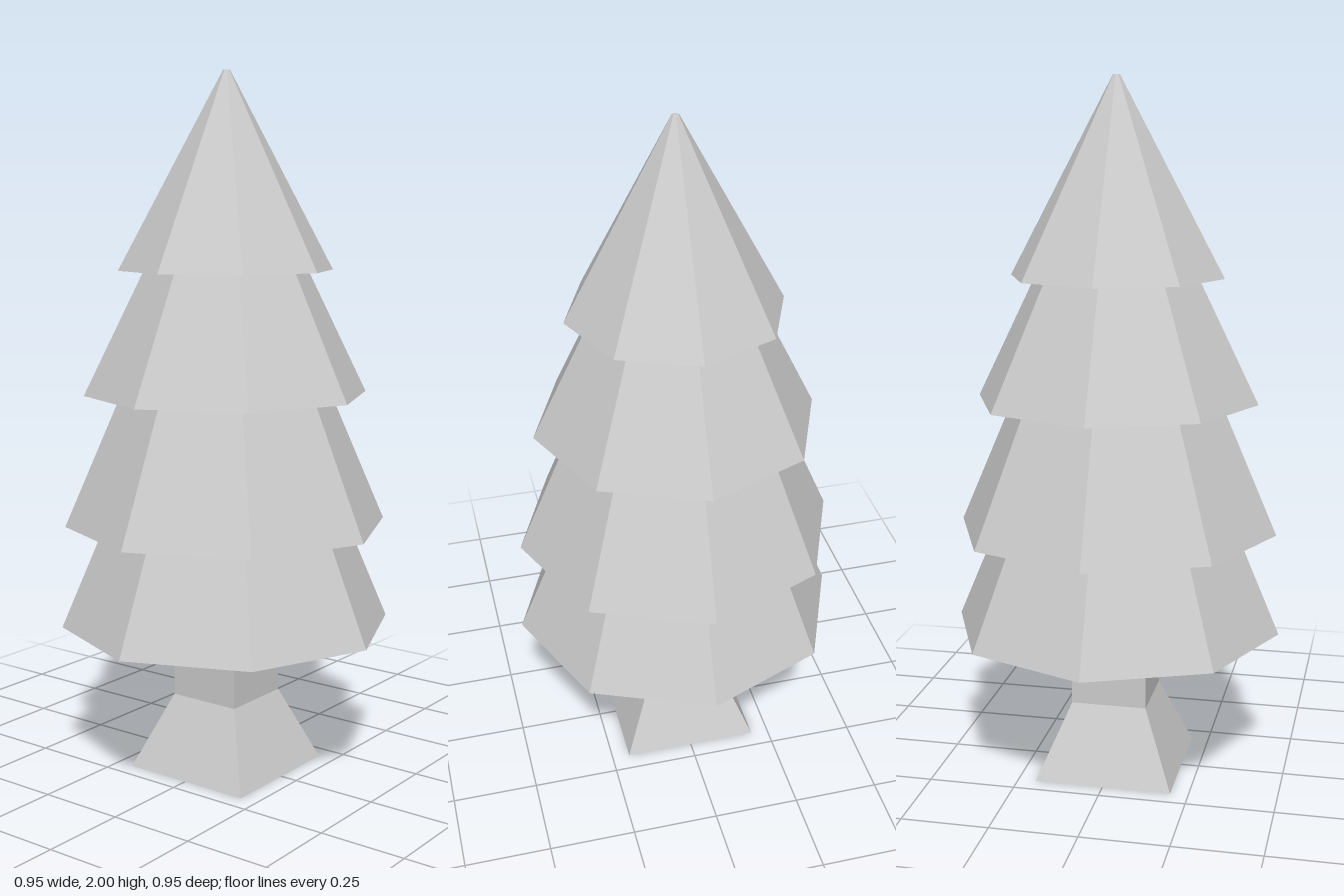
import * as THREE from 'three';

const material = new THREE.MeshStandardMaterial({ color: 0xcccccc, flatShading: true });

// Straight-sided frustum standing between two heights; radii reach the corners
function frustum(name, sides, y0, y1, r0, r1, turn = 0) {
  const geometry = new THREE.CylinderGeometry(r1, r0, y1 - y0, sides, 1);
  geometry.rotateY(turn);
  geometry.translate(0, (y0 + y1) / 2, 0);
  const mesh = new THREE.Mesh(geometry, material);
  mesh.name = name;
  return mesh;
}

export function createModel() {
  const tree = new THREE.Group();
  tree.name = 'pineTree';

  // Square trunk with a flared foot
  const corner = Math.SQRT2;
  const trunk = new THREE.Group();
  trunk.name = 'trunk';
  trunk.add(
    frustum('trunkFoot', 4, 0, 0.215, 0.198 * corner, 0.109 * corner, Math.PI / 4),
    frustum('trunkPost', 4, 0.215, 0.43, 0.109 * corner, 0.109 * corner, Math.PI / 4),
  );
  tree.add(trunk);

  // Octagonal foliage tiers: bottom height, top height, bottom radius, top radius
  const foliage = new THREE.Group();
  foliage.name = 'foliage';
  [
    [0.43, 0.725, 0.477, 0.352],
    [0.725, 1.1, 0.464, 0.302],
    [1.1, 1.45, 0.406, 0.234],
    [1.45, 2, 0.306, 0.01],
  ].forEach((tier, i) => foliage.add(frustum(`foliageTier${i + 1}`, 8, ...tier)));
  tree.add(foliage);

  return tree;
}
